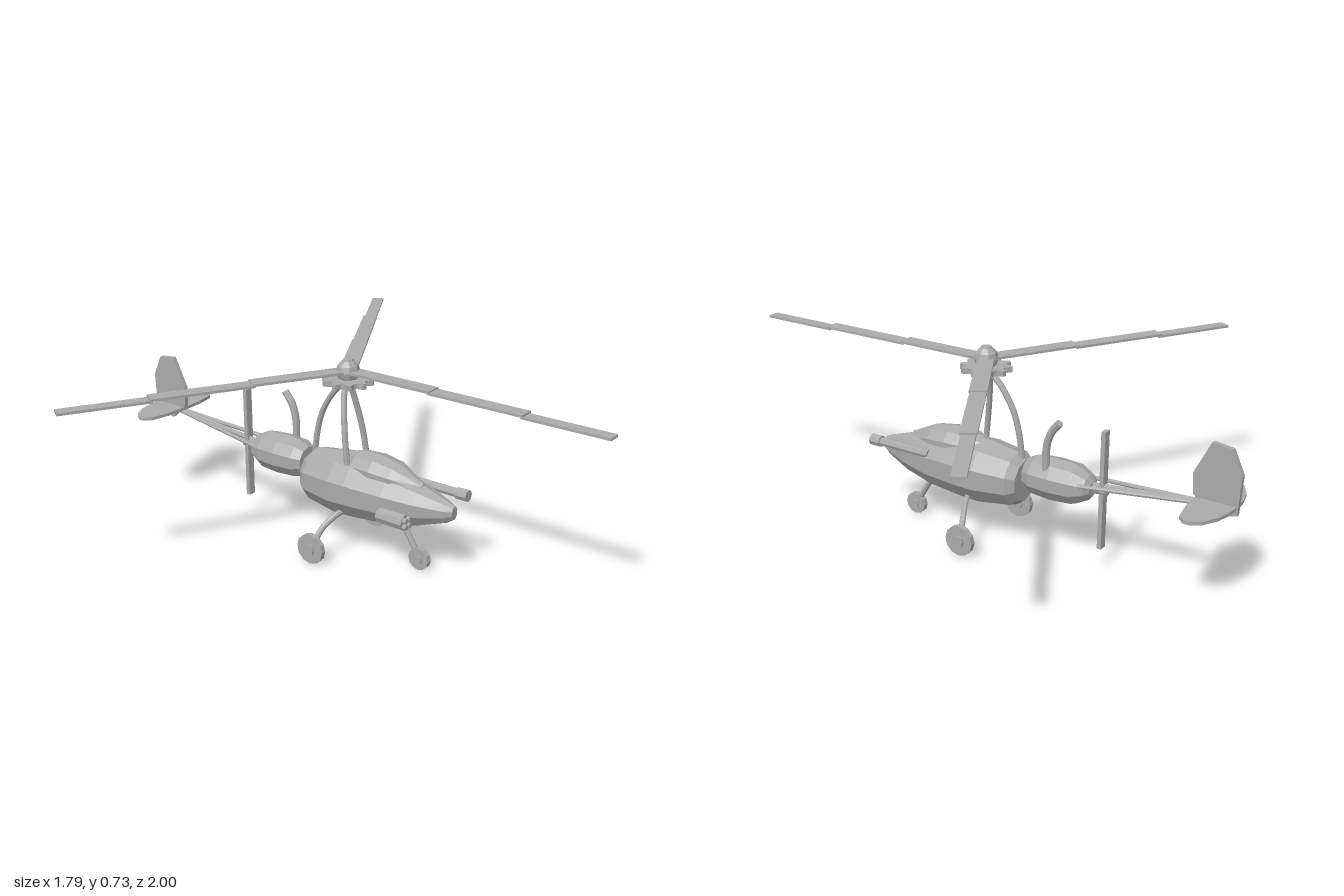
import * as THREE from 'three';

const grey = new THREE.MeshStandardMaterial({ color: 0xaaaaaa });
grey.name = 'plain grey';
grey.flatShading = true;
const V = (x, y, z) => new THREE.Vector3(x, y, z);

function add(parent, name, geometry, x = 0, y = 0, z = 0) {
  const mesh = new THREE.Mesh(geometry, grey);
  mesh.name = name;
  mesh.position.set(x, y, z);
  parent.add(mesh);
  return mesh;
}

// Closed hull through oval rings [z, half width, bottom, top], ordered front to back
function hull(rings, sides) {
  const pts = rings.map(([z, w, lo, hi]) => Array.from({ length: sides }, (_, j) => {
    const a = Math.PI / 2 + (j / sides) * Math.PI * 2;
    return V(w * Math.cos(a), (lo + hi) / 2 + ((hi - lo) / 2) * Math.sin(a), z);
  }));
  const mid = ([z, , lo, hi]) => V(0, (lo + hi) / 2, z);
  const tri = [];
  const last = rings.length - 1;
  for (let j = 0; j < sides; j++) {
    const k = (j + 1) % sides;
    tri.push(mid(rings[0]), pts[0][j], pts[0][k]);
    tri.push(mid(rings[last]), pts[last][k], pts[last][j]);
    for (let i = 0; i < last; i++) {
      const a = pts[i][j], b = pts[i + 1][j], c = pts[i + 1][k], d = pts[i][k];
      tri.push(a, b, c, a, c, d);
    }
  }
  const g = new THREE.BufferGeometry().setFromPoints(tri);
  g.computeVertexNormals();
  return g;
}

// Straight round bar between two points
function bar(parent, name, a, b, r0, r1 = r0, sides = 8) {
  const dir = b.clone().sub(a);
  const m = add(parent, name, new THREE.CylinderGeometry(r1, r0, dir.length(), sides));
  m.position.copy(a).add(b).multiplyScalar(0.5);
  m.quaternion.setFromUnitVectors(V(0, 1, 0), dir.normalize());
  return m;
}

// Bent tube with closed ends
function bent(parent, name, points, r) {
  const curve = new THREE.CatmullRomCurve3(points);
  add(parent, name, new THREE.TubeGeometry(curve, 10, r, 8));
  const n = points.length - 1;
  for (const t of [0, 1]) {
    const p = points[t * n];
    const out = curve.getTangent(t).multiplyScalar(t ? 0.002 : -0.002);
    bar(parent, name + 'End', p.clone().sub(out), p.clone().add(out), r);
  }
}

// Flat plate extruded from an outline and centred on its thickness
function plate(points, depth) {
  const g = new THREE.ExtrudeGeometry(new THREE.Shape(points.map(p => new THREE.Vector2(...p))),
    { depth, bevelEnabled: false });
  return g.translate(0, 0, -depth / 2);
}

function buildRotor(root) {
  const rotor = new THREE.Group();
  rotor.name = 'rotor';
  rotor.position.set(0, 0, -0.02);
  root.add(rotor);
  add(rotor, 'rotorHub', new THREE.SphereGeometry(0.044, 8, 6), 0, 0.683, 0);
  add(rotor, 'hubCap', new THREE.CylinderGeometry(0.018, 0.024, 0.02, 8), 0, 0.717, 0);
  // Toothed disc under the hub
  const teeth = [];
  for (let i = 0; i < 40; i++) {
    const a = (i / 40) * Math.PI * 2;
    const r = i % 4 < 2 ? 0.093 : 0.073;
    teeth.push([r * Math.cos(a), r * Math.sin(a)]);
  }
  add(rotor, 'rotorGear', plate(teeth, 0.02).rotateX(-Math.PI / 2), 0, 0.648, 0);
  // Three blades, each in three stepped panels: [start, end, width, height]
  const panels = [[0.03, 0.36, 0.06, 0.685], [0.35, 0.715, 0.055, 0.68], [0.705, 1.02, 0.046, 0.673]];
  for (let i = 0; i < 3; i++) {
    const blade = new THREE.Group();
    blade.name = 'rotorBlade';
    blade.rotation.y = (i * Math.PI * 2) / 3;
    rotor.add(blade);
    for (const [s, e, w, y] of panels) {
      add(blade, 'bladePanel', new THREE.BoxGeometry(w, 0.009, e - s), 0, y, (s + e) / 2);
    }
  }
}

function buildWheel(root, name, x, r, z) {
  add(root, name, new THREE.CylinderGeometry(r, r, 0.02, 12).rotateZ(Math.PI / 2), x, r, z);
  add(root, name + 'Hub', new THREE.CylinderGeometry(r * 0.4, r * 0.4, 0.034, 8).rotateZ(Math.PI / 2), x, r, z);
}

export function createModel() {
  const root = new THREE.Group();
  root.name = 'autogyro';

  // Cabin, canopy and engine
  add(root, 'fuselage', hull([
    [0.44, 0.018, 0.235, 0.285], [0.41, 0.034, 0.215, 0.297], [0.31, 0.072, 0.177, 0.33],
    [0.19, 0.1, 0.15, 0.358], [0.04, 0.118, 0.138, 0.376], [-0.03, 0.12, 0.136, 0.378],
    [-0.16, 0.1, 0.155, 0.36], [-0.19, 0.075, 0.18, 0.335],
  ], 10));
  add(root, 'canopy', hull([
    [0.31, 0.02, 0.27, 0.335], [0.2, 0.066, 0.27, 0.388], [0.12, 0.076, 0.27, 0.4],
    [0.04, 0.07, 0.27, 0.397], [-0.03, 0.04, 0.27, 0.375],
  ], 10));
  bar(root, 'engineNeck', V(0, 0.262, -0.17), V(0, 0.275, -0.23), 0.035, 0.025);
  add(root, 'engine', hull([
    [-0.205, 0.055, 0.24, 0.35], [-0.24, 0.073, 0.222, 0.368], [-0.32, 0.079, 0.217, 0.373],
    [-0.4, 0.073, 0.222, 0.368], [-0.45, 0.05, 0.248, 0.342], [-0.465, 0.03, 0.268, 0.322],
  ], 10));
  bent(root, 'exhaustPipe', [
    V(0.045, 0.34, -0.3), V(0.045, 0.43, -0.302), V(0.045, 0.485, -0.32), V(0.045, 0.523, -0.35),
  ], 0.014);

  // Pusher propeller
  bar(root, 'propellerShaft', V(0, 0.297, -0.45), V(0, 0.297, -0.52), 0.018);
  add(root, 'propeller', new THREE.BoxGeometry(0.03, 0.436, 0.016), 0, 0.298, -0.503);

  // Mast legs, rotor
  for (const s of [-1, 1]) {
    bent(root, 'frontMastLeg', [
      V(s * 0.012, 0.645, -0.025), V(s * 0.035, 0.56, -0.012), V(s * 0.052, 0.46, 0.005), V(s * 0.06, 0.34, 0.022),
    ], 0.011);
  }
  bent(root, 'rearMastLeg', [
    V(0, 0.645, -0.03), V(0, 0.59, -0.085), V(0, 0.51, -0.135), V(0, 0.43, -0.16), V(0, 0.33, -0.175),
  ], 0.011);
  buildRotor(root);

  // Tail booms and tail surfaces
  for (const s of [-1, 1]) {
    bar(root, 'sideBoom', V(s * 0.05, 0.31, -0.41), V(s * 0.006, 0.35, -0.87), 0.008);
  }
  bar(root, 'centreBoom', V(0, 0.308, -0.44), V(0, 0.358, -0.97), 0.01);
  const half = [[0, 0.842], [0.09, 0.847], [0.165, 0.862], [0.188, 0.885], [0.188, 0.91],
    [0.165, 0.94], [0.115, 0.968], [0.06, 0.982], [0, 0.987]];
  const outline = [...half, ...half.slice(1, -1).reverse().map(([x, z]) => [-x, z])];
  add(root, 'tailplane', plate(outline, 0.012).rotateX(-Math.PI / 2), 0, 0.36, 0);
  const fin = [[0.835, 0.375], [0.83, 0.45], [0.887, 0.567], [0.958, 0.558],
    [0.997, 0.476], [0.99, 0.335], [0.907, 0.312]];
  add(root, 'tailFin', plate(fin, 0.016).rotateY(Math.PI / 2));

  // Landing gear
  for (const s of [-1, 1]) {
    bent(root, 'mainLeg', [
      V(s * 0.03, 0.182, 0.02), V(s * 0.1, 0.165, 0), V(s * 0.155, 0.12, -0.025), V(s * 0.192, 0.055, -0.038),
    ], 0.011);
    buildWheel(root, 'mainWheel', s * 0.195, 0.057, -0.04);
  }
  bar(root, 'noseLeg', V(0, 0.19, 0.21), V(0, 0.045, 0.298), 0.011);
  buildWheel(root, 'noseWheel', 0, 0.042, 0.3);

  // Long barrel on the left side
  bar(root, 'barrel', V(0.08, 0.297, 0.18), V(0.08, 0.297, 0.44), 0.017);
  bar(root, 'barrelMuzzle', V(0.08, 0.297, 0.4), V(0.08, 0.297, 0.445), 0.022);
  add(root, 'barrelMount', new THREE.BoxGeometry(0.04, 0.02, 0.1), 0.06, 0.29, 0.27);

  // Tube cluster on the right side
  bar(root, 'tubePod', V(-0.095, 0.22, 0.19), V(-0.095, 0.22, 0.3), 0.028, 0.03);
  for (let i = 0; i < 4; i++) {
    const a = Math.PI / 4 + (i * Math.PI) / 2;
    const x = -0.095 + 0.017 * Math.cos(a), y = 0.22 + 0.017 * Math.sin(a);
    bar(root, 'podTube', V(x, y, 0.28), V(x, y, 0.315), 0.01);
  }
  return root;
}
